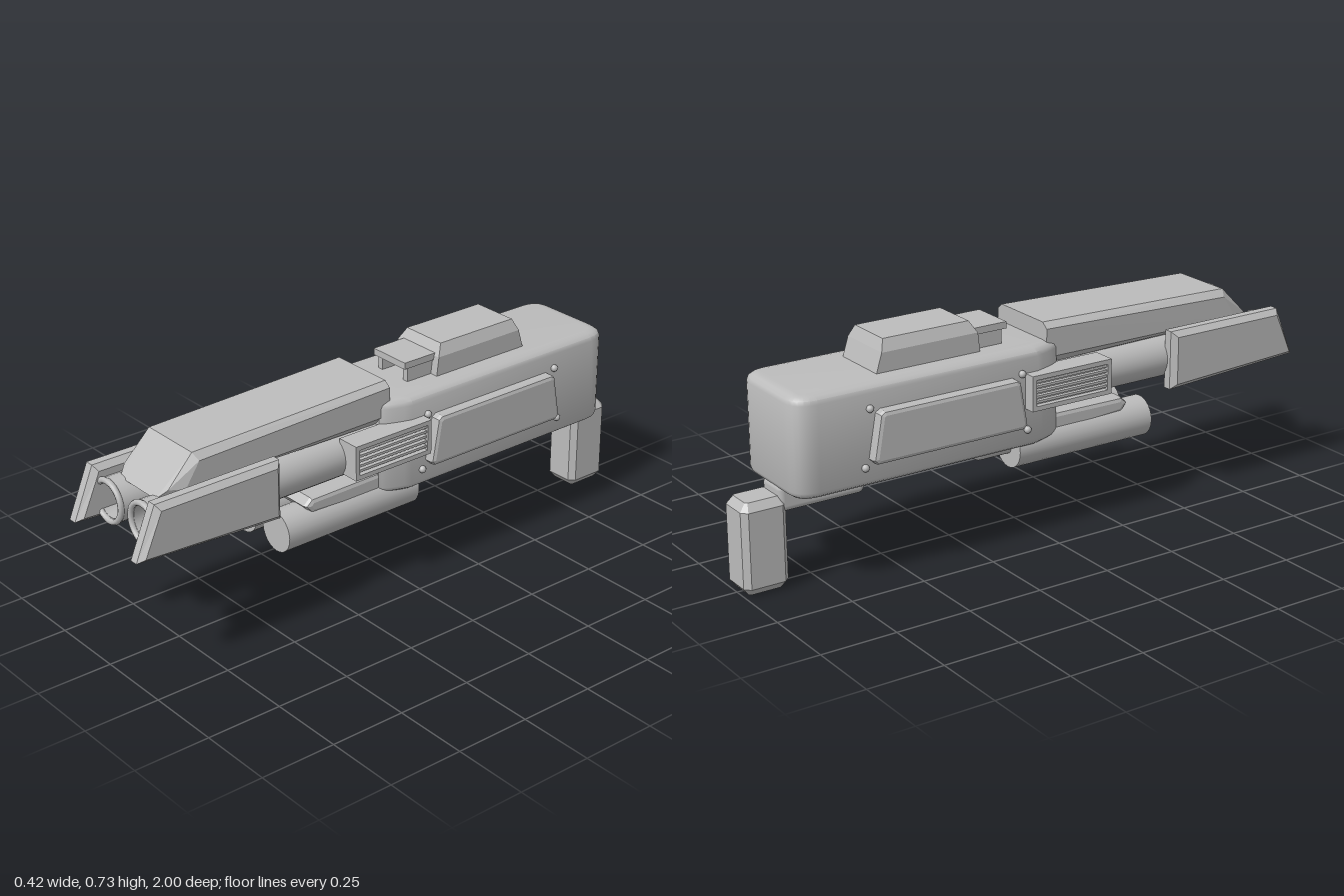
import * as THREE from 'three';
import { toCreasedNormals } from 'three/addons/utils/BufferGeometryUtils.js';
import { ConvexGeometry } from 'three/addons/geometries/ConvexGeometry.js';
import { RoundedBoxGeometry } from 'three/addons/geometries/RoundedBoxGeometry.js';

export function createModel() {
  const model = new THREE.Group();
  const grey = new THREE.MeshStandardMaterial({ color: 0xbcbcbc, side: THREE.DoubleSide });
  grey.name = 'grey';

  const add = (name, geometry, x = 0, y = 0, z = 0) => {
    const mesh = new THREE.Mesh(geometry, grey);
    mesh.name = name;
    mesh.position.set(x, y, z);
    model.add(mesh);
    return mesh;
  };
  const bevelled = (shape, depth, size, thick, segments = 1) => new THREE.ExtrudeGeometry(shape, {
    depth: depth - 2 * thick, bevelEnabled: true, bevelSize: size, bevelOffset: -size,
    bevelThickness: thick, bevelSegments: segments, curveSegments: 6,
  }).translate(0, 0, thick);
  // side profile given as [z, y] points, extruded across x and centred
  const sidePlate = (points, width, bevel, segments = 1) => {
    const shape = new THREE.Shape(points.map(([z, y]) => new THREE.Vector2(-z, y)));
    return bevelled(shape, width, bevel, bevel, segments)
      .translate(0, 0, -width / 2).rotateY(Math.PI / 2);
  };
  // plan outline in (x, -z), extruded upwards
  const upright = (shape, height, size, thick, segments) =>
    bevelled(shape, height, size, thick, segments).rotateX(-Math.PI / 2);
  // convex solid from [x, y, z] points mirrored over x
  const hull = (points) => new ConvexGeometry(points.flatMap(([x, y, z]) =>
    [new THREE.Vector3(x, y, z), new THREE.Vector3(-x, y, z)]));
  // box from ranges
  const block = (name, x0, x1, y0, y1, z0, z1, radius = 0) => add(name,
    radius ? new RoundedBoxGeometry(x1 - x0, y1 - y0, z1 - z0, 3, radius)
      : new THREE.BoxGeometry(x1 - x0, y1 - y0, z1 - z0),
    (x0 + x1) / 2, (y0 + y1) / 2, (z0 + z1) / 2);

  // Main body: tapered nose, rounded rear corners
  const plan = new THREE.Shape();
  plan.moveTo(-0.13, -0.07);
  plan.lineTo(0.13, -0.07);
  plan.quadraticCurveTo(0.15, -0.05, 0.172, 0.03);
  plan.lineTo(0.172, 0.8);
  plan.quadraticCurveTo(0.168, 0.875, 0.1, 0.875);
  plan.lineTo(-0.1, 0.875);
  plan.quadraticCurveTo(-0.168, 0.875, -0.172, 0.8);
  plan.lineTo(-0.172, 0.03);
  plan.quadraticCurveTo(-0.15, -0.05, -0.13, -0.07);
  add('body', toCreasedNormals(upright(plan, 0.32, 0.035, 0.025, 3), 0.6), 0, 0.308, 0);

  // Long cover over the barrels
  add('barrelCover', hull([
    [0.112, 0.685, 0.03], [0.134, 0.667, 0.03], [0.134, 0.575, 0.03],
    [0.108, 0.667, 0.75], [0.13, 0.645, 0.74], [0.13, 0.57, 0.79],
    [0.112, 0.575, 0.84], [0.09, 0.548, 0.87], [0.115, 0.55, 0.03],
  ]));

  // Top housing and its small front bracket
  add('topHousing', hull([
    [0.098, 0.61, -0.19], [0.098, 0.61, -0.565], [0.098, 0.69, -0.2], [0.098, 0.69, -0.54],
    [0.08, 0.727, -0.222], [0.08, 0.727, -0.525],
  ]));
  block('bracketRoof', -0.075, 0.075, 0.675, 0.697, -0.21, -0.08);
  block('bracketBack', -0.07, 0.07, 0.61, 0.68, -0.21, -0.16);

  // Twin hollow barrels with rolled rims
  const barrel = new THREE.LatheGeometry([
    [0.071, 0], [0.071, 0.91], [0.056, 0.91], [0.056, 0.66], [0.04, 0.62], [0, 0.6],
  ].map(([r, h]) => new THREE.Vector2(r, h)), 24).rotateX(Math.PI / 2);
  const barrelGeo = toCreasedNormals(barrel, 0.7);
  const rim = new THREE.TorusGeometry(0.065, 0.01, 8, 24);
  const lowerTube = new THREE.CylinderGeometry(0.067, 0.067, 0.515, 24).rotateX(Math.PI / 2);
  const screw = new THREE.SphereGeometry(0.012, 12, 8);

  const muzzleGuard = sidePlate([[0.487, 0.39], [1, 0.417], [0.93, 0.585], [0.487, 0.585]], 0.064, 0.018);
  const sidePanel = sidePlate([
    [-0.085, 0.4], [-0.1, 0.385], [-0.62, 0.385], [-0.635, 0.4], [-0.61, 0.54],
    [-0.595, 0.55], [-0.125, 0.55], [-0.11, 0.54],
  ], 0.07, 0.014, 2);

  for (const s of [1, -1]) {
    const span = (a, b) => (s > 0 ? [a, b] : [-b, -a]);
    add('barrel', barrelGeo, s * 0.09, 0.484, 0);
    add('barrelRim', rim, s * 0.09, 0.484, 0.915);
    add('muzzleGuard', muzzleGuard, s * 0.16, 0, 0);
    add('lowerTube', lowerTube, s * 0.083, 0.288, 0.178);
    add('sidePanel', sidePanel, s * 0.171, 0, 0);
    block('bracketLeg', ...span(0.05, 0.07), 0.61, 0.68, -0.18, -0.095);

    // Vent: recessed core, frame and slats
    block('ventCore', ...span(0.12, 0.192), 0.445, 0.55, -0.065, 0.215);
    for (const y of [0.44, 0.54]) block('ventFrame', ...span(0.13, 0.21), y, y + 0.015, -0.075, 0.225);
    for (const z of [-0.075, 0.21]) block('ventFrame', ...span(0.13, 0.21), 0.44, 0.555, z, z + 0.015);
    for (let i = 0; i < 5; i++) {
      const y = 0.463 + i * 0.0165;
      block('ventSlat', ...span(0.185, 0.205), y, y + 0.008, -0.065, 0.215);
    }

    // Screws around the side panel
    for (const [z, y] of [[-0.09, 0.557], [-0.63, 0.557], [-0.07, 0.372], [-0.65, 0.375]])
      add('screw', screw, s * 0.176, y, z);
  }

  // Lower tube mount
  add('tubeMount', sidePlate([
    [0.355, 0.36], [0.33, 0.382], [0.05, 0.385], [0, 0.31], [0.33, 0.33],
  ], 0.26, 0.015, 2));
  block('tubeMountTail', -0.1, 0.1, 0.265, 0.36, -0.21, 0.12, 0.025);

  // Rear underside fittings
  block('undersidePlate', -0.085, 0.085, 0.283, 0.33, -0.62, -0.44, 0.012);
  block('gripNeck', -0.055, 0.055, 0.24, 0.33, -0.875, -0.58, 0.02);

  // Rear grip with chamfered edges
  const [w, f, b, c] = [0.063, 0.85, 1, 0.018];
  const gripPlan = new THREE.Shape([
    [-w + c, f], [w - c, f], [w, f + c], [w, b - c], [w - c, b], [-w + c, b], [-w, b - c], [-w, f + c],
  ].map(([x, y]) => new THREE.Vector2(x, y)));
  add('grip', upright(gripPlan, 0.295, 0.02, 0.025, 1));

  return model;
}
